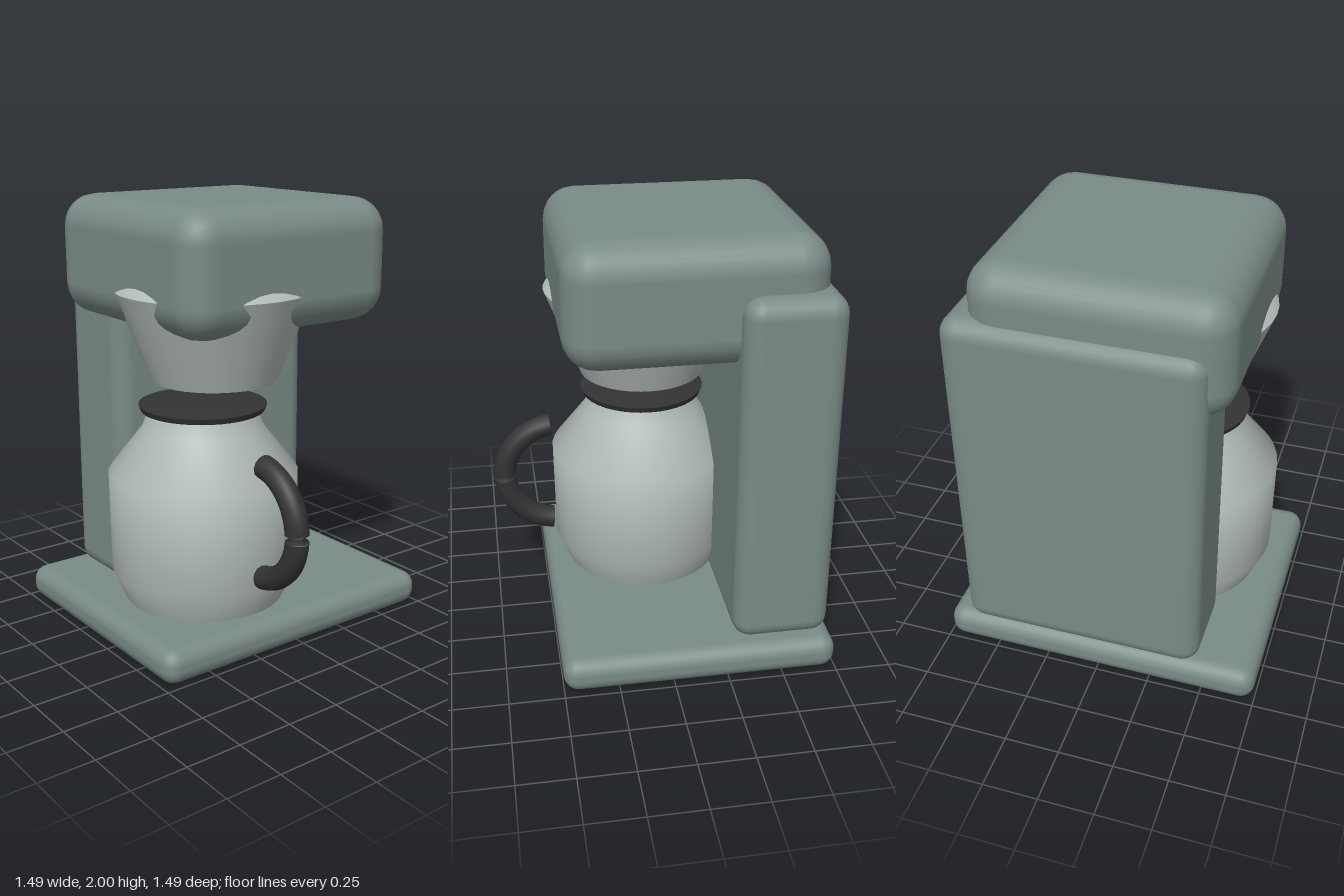
import * as THREE from 'three';
import { toCreasedNormals } from 'three/addons/utils/BufferGeometryUtils.js';
import { RoundedBoxGeometry } from 'three/addons/geometries/RoundedBoxGeometry.js';

const makeMaterial = (name, color) => {
  const m = new THREE.MeshStandardMaterial({ color });
  m.name = name;
  return m;
};

export function createModel() {
  const body = makeMaterial('grey green enamel', 0x7a8b86);
  const metal = makeMaterial('pale metal', 0xb2bcb9);
  const black = makeMaterial('black plastic', 0x333333);

  const model = new THREE.Group();
  model.name = 'coffeeMaker';

  const add = (name, geometry, material, x, y, z, parent = model) => {
    const mesh = new THREE.Mesh(geometry, material);
    mesh.name = name;
    mesh.position.set(x, y, z);
    parent.add(mesh);
    return mesh;
  };

  // Rounded block given by its limits on each axis
  const block = (name, [x0, x1], [y0, y1], [z0, z1], radius) =>
    add(name, new RoundedBoxGeometry(x1 - x0, y1 - y0, z1 - z0, 3, radius), body,
      (x0 + x1) / 2, (y0 + y1) / 2, (z0 + z1) / 2);

  // Turned part from [radius, height] pairs, bottom to top
  const turned = (name, profile, material, x, z) =>
    add(name, toCreasedNormals(new THREE.LatheGeometry(
      profile.map(([r, y]) => new THREE.Vector2(r, y)), 40), 0.9), material, x, 0, z);

  // Housing
  block('base', [-0.75, 0.5], [0, 0.16], [-0.745, 0.745], 0.07);
  block('column', [-0.735, -0.29], [0.13, 1.775], [-0.655, 0.475], 0.085);
  block('brewHead', [-0.69, 0.44], [1.44, 2], [-0.565, 0.565], 0.15);

  // Filter funnel, its rim breaking through the head
  turned('filterFunnel', [[0, 1.19], [0.29, 1.19], [0.45, 1.6], [0.41, 1.645], [0, 1.66]],
    metal, 0.02, 0.15);

  // Carafe with lid
  turned('carafe', [[0, 0.16], [0.375, 0.16], [0.435, 0.3], [0.44, 0.765],
    [0.28, 0.97], [0.25, 1.055], [0, 1.055]], metal, 0.01, 0.21);
  turned('lid', [[0, 1.05], [0.285, 1.053], [0.295, 1.08], [0, 1.12]], black, 0.01, 0.21);

  // Handle: two mirrored arcs meeting at a pinched waist
  const handle = new THREE.Group();
  handle.name = 'handle';
  handle.position.set(0.43, 0.63, 0.21);
  model.add(handle);
  const ring = 0.26, tube = 0.054, start = 0.06, end = 1.46;
  for (const side of [1, -1]) {
    const arc = add('handleArc', new THREE.TorusGeometry(ring, tube, 12, 14, end - start),
      black, 0, 0, 0, handle);
    arc.rotation.z = side > 0 ? start : -end;
    const cap = add('handleEnd', new THREE.CircleGeometry(tube, 12), black,
      ring * Math.cos(end), side * ring * Math.sin(end), 0, handle);
    cap.rotation.set(side * -Math.PI / 2, 0, 0);
    cap.quaternion.setFromUnitVectors(new THREE.Vector3(0, 0, 1),
      new THREE.Vector3(-Math.sin(end), side * Math.cos(end), 0));
  }
  const waist = [[tube, -0.016], [0.028, 0], [tube, 0.016]];
  add('handleWaist', new THREE.LatheGeometry(
    waist.map(([r, y]) => new THREE.Vector2(r, y)), 12), black, ring, 0, 0, handle);

  return model;
}
